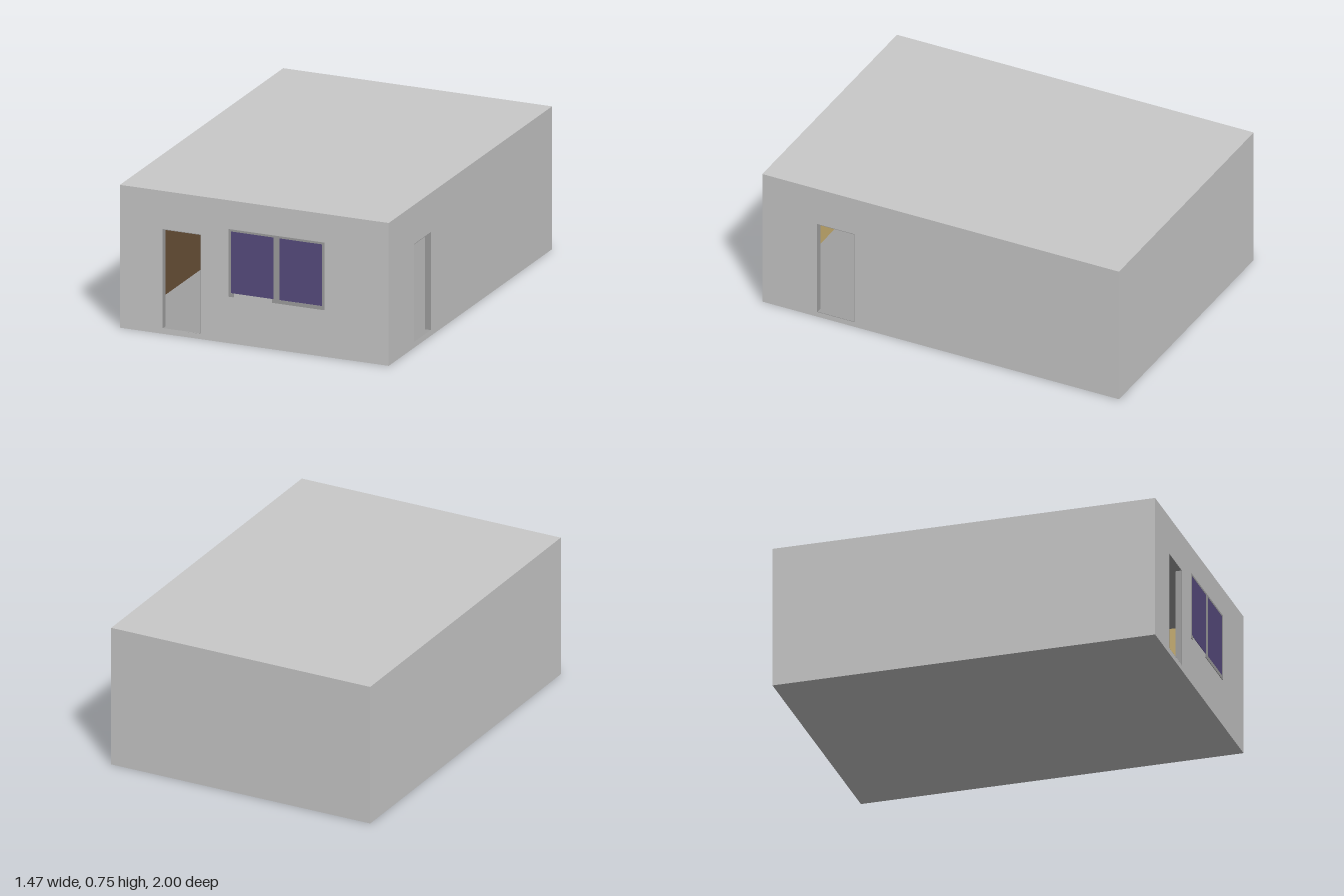
import * as THREE from 'three';

export function createModel() {
  const mat = (name, color, side = THREE.FrontSide) => {
    const m = new THREE.MeshStandardMaterial({ color, side });
    m.name = name;
    return m;
  };
  const plaster = mat('light grey plaster', 0xc9c9c9);
  const trim = mat('mid grey trim', 0xa0a0a0);
  const yellow = mat('ochre wall paint', 0xc9b070);
  const brown = mat('brown wall paint', 0x6b5239);
  const purple = mat('purple glass', 0x584c80);

  const W = 0.7325, H = 0.75, T = 0.032, FRONT = 0.997, BACK = -1;
  const group = new THREE.Group();
  const add = (name, geo, material, x = 0, y = 0, z = 0, parent = group) => {
    const mesh = new THREE.Mesh(geo, material);
    mesh.name = name;
    mesh.position.set(x, y, z);
    parent.add(mesh);
    return mesh;
  };

  // Flat rectangle with an optional doorway, drawn in its own x/y plane
  const panel = (x0, x1, y0, y1, hole) => {
    const rect = (C, a, b, c, d) => new C([[a, c], [b, c], [b, d], [a, d]].map(p => new THREE.Vector2(...p)));
    const s = rect(THREE.Shape, x0, x1, y0, y1);
    if (hole) s.holes.push(rect(THREE.Path, ...hole));
    return new THREE.ShapeGeometry(s);
  };
  const mirrorHole = h => h && [-h[1], -h[0], h[2], h[3]];

  // Doorways as [left, right, bottom, top]; the side wall's local x is -z
  const frontDoor = [-0.5, -0.29, 0.03, 0.55];
  const sideDoor = [-0.69, -0.48, 0.03, 0.545];
  const iw = W - T, top = H - 0.03, bottom = 0.03;

  // Outer walls and inner painted walls, each turned to face its own way
  const walls = [
    { name: 'front', turn: 0, span: [-W, W], inner: [-iw, iw], out: FRONT, hole: frontDoor },
    { name: 'left', turn: Math.PI / 2, span: [-FRONT, -BACK], inner: [-FRONT + T, -BACK - T], out: W, hole: sideDoor },
    { name: 'back', turn: Math.PI, span: [-W, W], inner: [-iw, iw], out: -BACK },
    { name: 'right', turn: -Math.PI / 2, span: [BACK, FRONT], inner: [BACK + T, FRONT - T], out: W },
  ];
  for (const w of walls) {
    const wall = new THREE.Group();
    wall.name = w.name + 'Wall';
    wall.rotation.y = w.turn;
    group.add(wall);
    add(w.name + 'OuterFace', panel(...w.span, 0, H, w.hole), plaster, 0, 0, w.out, wall);
    const [a, b] = w.inner;
    const inside = add(w.name + 'InnerFace', panel(-b, -a, bottom, top, mirrorHole(w.hole)), yellow, 0, 0, w.out - T, wall);
    inside.rotation.y = Math.PI;
    // Brown lower half of the right-hand inner wall
    if (w.name === 'right') {
      const dado = add('brownDado', panel(-b, -a, bottom, 0.425), brown, 0, 0, w.out - T - 0.002, wall);
      dado.rotation.y = Math.PI;
    }
    // Thin lining around the doorway
    if (w.hole) {
      const [l, r, d, u] = w.hole, t = 0.003, z = w.out - T / 2;
      for (const x of [l + t / 2, r - t / 2])
        add('doorJamb', new THREE.BoxGeometry(t, u - d, T), trim, x, (u + d) / 2, z, wall);
      for (const y of [d - t / 2, u - t / 2])
        add('doorLining', new THREE.BoxGeometry(r - l, t, T), trim, (l + r) / 2, y, z, wall);
    }
  }

  // Horizontal slabs: outer and inner faces
  const midZ = (FRONT + BACK) / 2, len = FRONT - BACK;
  const slab = (name, w, l, y, up, m) => {
    const p = add(name, new THREE.PlaneGeometry(w, l), m, 0, y, midZ);
    p.rotation.x = up ? -Math.PI / 2 : Math.PI / 2;
  };
  slab('roof', 2 * W, len, H, true, plaster);
  slab('underside', 2 * W, len, 0, false, plaster);
  slab('floor', 2 * iw, len - 2 * T, bottom, true, trim);
  slab('ceiling', 2 * iw, len - 2 * T, top, false, trim);

  // Double window, shown on both faces of the front wall
  const bar = (x0, x1, y0, y1, z, depth, name, m, parent) =>
    add(name, new THREE.BoxGeometry(x1 - x0, y1 - y0, depth), m, (x0 + x1) / 2, (y0 + y1) / 2, z, parent);
  for (const [name, z] of [['outerWindow', FRONT + 0.0005], ['innerWindow', FRONT - T - 0.0005]]) {
    const win = new THREE.Group();
    win.name = name;
    group.add(win);
    for (const [x0, x1] of [[-0.14, -0.127], [0.105, 0.137], [0.369, 0.382]])
      bar(x0, x1, 0.245, 0.6, z, 0.005, 'windowUpright', trim, win);
    bar(-0.127, 0.369, 0.589, 0.6, z, 0.005, 'windowHead', trim, win);
    // Sill is broken under one pane
    for (const [x0, x1] of [[-0.127, -0.112], [0.097, 0.105], [0.137, 0.369]])
      bar(x0, x1, 0.245, 0.265, z, 0.005, 'windowSill', trim, win);
    for (const [x0, x1] of [[-0.127, 0.105], [0.137, 0.369]])
      bar(x0, x1, 0.265, 0.589, z, 0.003, 'windowPane', purple, win);
  }
  return group;
}
